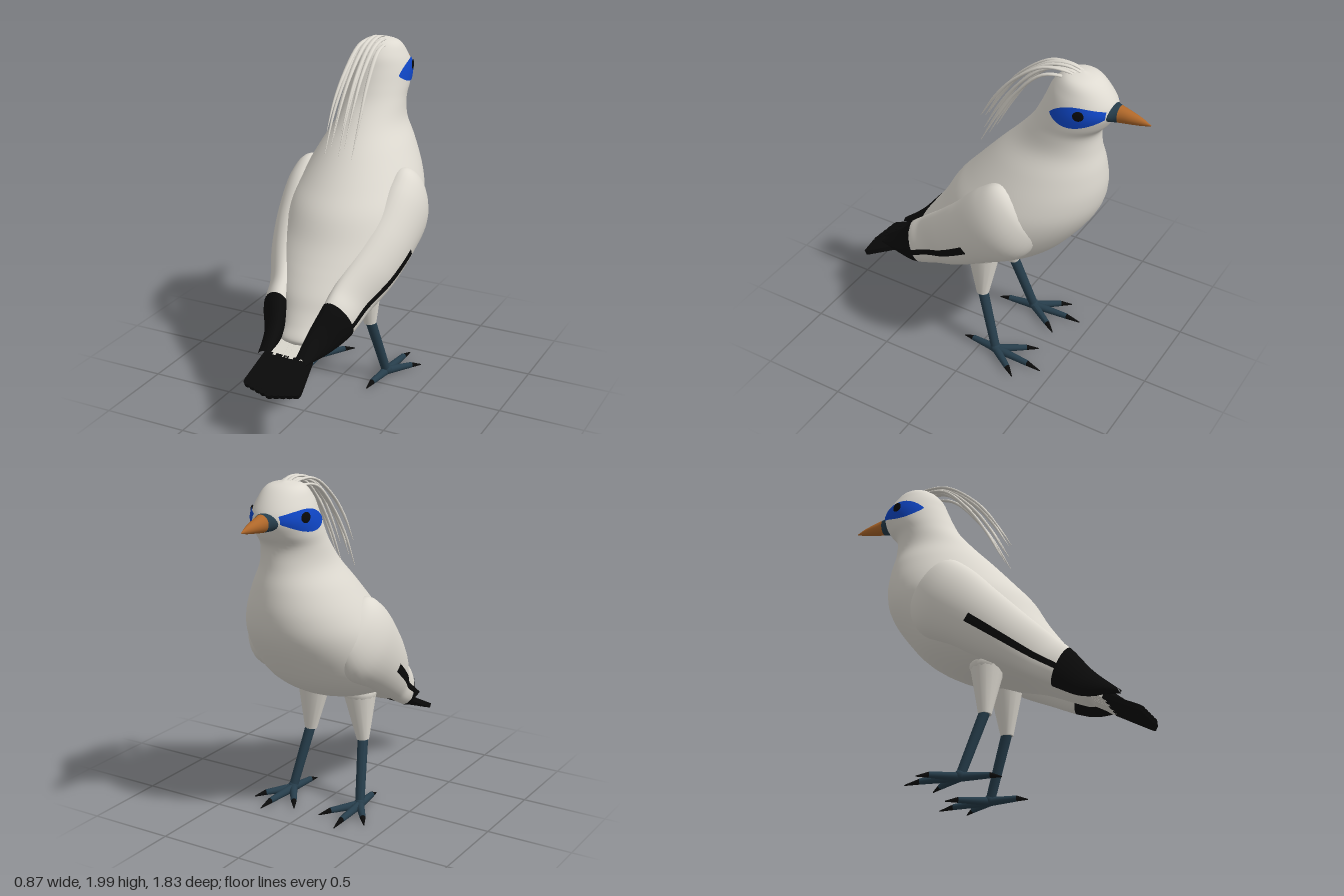
import * as THREE from 'three';
import { mergeVertices } from 'three/addons/utils/BufferGeometryUtils.js';

const mat = (name, color) => Object.assign(new THREE.MeshStandardMaterial({ color }), { name });

// Indexed grid surface from fn(a, b), with a and b in 0..1
function grid(fn, m, n) {
  const pos = [], idx = [];
  for (let i = 0; i <= m; i++) for (let j = 0; j <= n; j++) pos.push(...fn(i / m, j / n));
  for (let i = 0; i < m; i++) for (let j = 0; j < n; j++) {
    const a = i * (n + 1) + j, b = a + n + 1;
    idx.push(a, b, b + 1, a, b + 1, a + 1);
  }
  let g = new THREE.BufferGeometry();
  g.setAttribute('position', new THREE.Float32BufferAttribute(pos, 3));
  g.setIndex(idx);
  g = mergeVertices(g, 1e-5);
  g.computeVertexNormals();
  return g;
}

// Smooth run of elliptical sections; row = [upper xyz, lower xyz, half width along x]
function sections(rows) {
  const curve = f => new THREE.CatmullRomCurve3(rows.map(f), false, 'catmullrom', 0.5);
  const u = curve(r => new THREE.Vector3(r[0], r[1], r[2]));
  const l = curve(r => new THREE.Vector3(r[3], r[4], r[5]));
  const w = curve(r => new THREE.Vector3(r[6], 0, 0));
  return s => {
    const k = Math.min(1, Math.max(0, s / (rows.length - 1)));
    return { u: u.getPoint(k), l: l.getPoint(k), w: Math.max(0, w.getPoint(k).x) };
  };
}
function loft(sec, s0, s1, m, n, t0 = 0, t1 = Math.PI * 2, grow = 0) {
  return grid((a, b) => {
    const { u, l, w } = sec(s0 + (s1 - s0) * a);
    const t = t0 + (t1 - t0) * b, c = Math.cos(t) / 2;
    return [
      (u.x + l.x) / 2 + (u.x - l.x) * c + (w + grow) * Math.sin(t),
      (u.y + l.y) / 2 + (u.y - l.y) * c,
      (u.z + l.z) / 2 + (u.z - l.z) * c];
  }, m, n);
}

// Mirror image across x = 0 with corrected corner order
function mirrored(geo) {
  const g = geo.clone().scale(-1, 1, 1), ix = g.index.array;
  for (let i = 0; i < ix.length; i += 3) [ix[i], ix[i + 1]] = [ix[i + 1], ix[i]];
  g.computeVertexNormals();
  return g;
}

// Tapered round limb between two points
function limb(a, b, r0, r1) {
  const A = new THREE.Vector3(...a), d = new THREE.Vector3(...b).sub(A);
  const g = new THREE.CylinderGeometry(r1, r0, d.length(), 14);
  g.applyQuaternion(new THREE.Quaternion().setFromUnitVectors(new THREE.Vector3(0, 1, 0), d.clone().normalize()));
  return g.translate(...A.addScaledVector(d, 0.5).toArray());
}

export function createModel() {
  const root = new THREE.Group();
  root.name = 'bird';
  const white = mat('white plumage', 0xdedad1), black = mat('black feather', 0x0a0a0a);
  const blue = mat('blue skin', 0x0f46c6), orange = mat('orange beak', 0xb0682a);
  const slate = mat('slate leg', 0x263d4b);
  const add = (name, geo, m, parent = root) => {
    const o = new THREE.Mesh(geo, m);
    o.name = name;
    parent.add(o);
  };
  const pair = (name, geo, m) => {
    add('left ' + name, geo, m);
    add('right ' + name, mirrored(geo), m);
  };

  // Head and body: back z y, front z y, half width
  const body = sections([
    [-.49, 1.975, -.51, 1.975, 0], [-.41, 1.955, -.60, 1.945, .10], [-.345, 1.89, -.673, 1.872, .145],
    [-.31, 1.81, -.71, 1.79, .172], [-.27, 1.72, -.675, 1.705, .178], [-.22, 1.63, -.622, 1.63, .18],
    [-.12, 1.51, -.625, 1.52, .20], [0, 1.38, -.65, 1.40, .265], [.14, 1.22, -.66, 1.26, .335],
    [.24, 1.10, -.63, 1.12, .38], [.32, .96, -.54, .97, .395], [.38, .87, -.40, .81, .38],
    [.43, .80, -.20, .69, .33], [.49, .71, .05, .62, .255], [.53, .63, .25, .56, .18],
    [.57, .56, .43, .48, .125], [.61, .495, .53, .44, .10], [.60, .46, .57, .435, 0],
  ].map(r => [0, r[1], r[0], 0, r[3], r[2], r[4]]));
  add('body', loft(body, 0, 17, 90, 48), white);

  // Half width of the head at a given height and depth
  const headX = (y, z) => {
    let lo = 0, hi = 8, q = 0, w = 0;
    for (let i = 0; i < 30; i++) {
      const s = (lo + hi) / 2, r = body(s);
      q = (z - r.l.z) / (r.u.z - r.l.z);
      w = r.w;
      if (r.l.y + (r.u.y - r.l.y) * Math.min(1, Math.max(0, q)) > y) lo = s; else hi = s;
    }
    return w * Math.sqrt(Math.max(0, 1 - (2 * q - 1) ** 2));
  };

  // Eye mask and eyes
  pair('eye mask', grid((f, g) => {
    const half = .05 * Math.sin(Math.PI * f ** .85) ** .9 + .02 * f;
    const y = 1.775 + .025 * f + (g * 2 - 1) * half, z = -.40 - .285 * f;
    return [headX(y, z) * 1.025 + .002, 1.8 + (y - 1.8) * 1.02, -.5 + (z + .5) * 1.02];
  }, 28, 10), blue);
  pair('eye', new THREE.SphereGeometry(.03, 20, 14).scale(.2, 1, 1)
    .rotateY(.33).translate(headX(1.806, -.57) + .007, 1.806, -.572), black);

  // Beak: z, low y, high y, half width
  const beak = sections([
    [-.66, 1.735, 1.832, .095], [-.70, 1.735, 1.832, .068], [-.732, 1.736, 1.832, .046],
    [-.80, 1.745, 1.814, .032], [-.86, 1.754, 1.795, .017], [-.91, 1.766, 1.771, .001],
  ].map(r => [0, r[1], r[0], 0, r[2], r[0], r[3]]));
  add('beak base', loft(beak, 0, 2, 10, 24), slate);
  add('beak', loft(beak, 2, 5, 18, 24), orange);

  // Crest plumes sweeping back from the crown, spread between an outer and an inner arc
  const outer = [[-.56, 1.952], [-.43, 1.99], [-.28, 1.955], [-.12, 1.835], [-.01, 1.70], [.08, 1.55]];
  const inner = [[-.56, 1.945], [-.43, 1.975], [-.29, 1.92], [-.15, 1.77], [-.04, 1.60], [.065, 1.395]];
  const widths = [.008, .013, .014, .011, .007, .001], spread = [1, .2, .6, 0, .9];
  for (let i = -4; i <= 4; i++) {
    const q = spread[Math.abs(i)];
    const plume = sections(outer.map(([oz, oy], k) => {
      const z = oz + (inner[k][0] - oz) * q, y = oy + (inner[k][1] - oy) * q;
      const x = i * (.011 + .0025 * Math.min(k, 4));
      const h = k === 5 ? .001 : .006, dy = i * i * (k < 2 ? .0022 : .0008);
      return [x, y + h - dy, z + h, x, y - h - dy, z - h, widths[k]];
    }));
    add('crest plume', loft(plume, 0, 5, 24, 8), white);
  }

  // Folded wings: upper edge, lower edge, half thickness
  const wing = sections([
    [.28, 1.20, -.37, .27, 1.16, -.39, 0], [.295, 1.305, -.19, .275, 1.02, -.41, .095],
    [.295, 1.24, -.05, .285, .87, -.33, .145], [.275, 1.07, .12, .29, .755, -.12, .14],
    [.235, .92, .27, .28, .645, .08, .118], [.18, .78, .42, .25, .56, .25, .085],
    [.165, .70, .51, .215, .475, .42, .078], [.12, .58, .61, .165, .425, .56, .055],
    [.10, .465, .74, .13, .43, .755, .03],
  ]);
  pair('wing', loft(wing, 0, 5.9, 50, 32), white);
  pair('wing tip', loft(wing, 5.9, 8, 20, 32, 0, Math.PI * 2, .003), black);
  add('wing tip ends', grid((a, b) => {
    const { u, l, w } = wing(8), t = b * Math.PI * 2, x = (u.x + l.x) / 2;
    return [x + a * ((u.x - l.x) / 2 * Math.cos(t) + (w + .003) * Math.sin(t)),
      (u.y + l.y) / 2 + a * (u.y - l.y) / 2 * Math.cos(t),
      (u.z + l.z) / 2 + a * (u.z - l.z) / 2 * Math.cos(t) + .012 * (1 - a)];
  }, 3, 32), black);
  root.children.at(-1).name = 'left wing tip end';
  add('right wing tip end', mirrored(root.children.at(-1).geometry), black);
  pair('wing stripe', loft(wing, 3.05, 5.95, 30, 4, 1.66, 1.93, .006), black);

  // Tail fan of overlapping feathers, white with black ends
  const tail = new THREE.Group();
  tail.name = 'tail';
  tail.position.set(0, .528, .45);
  tail.rotation.x = .48;
  root.add(tail);
  for (let i = -4; i <= 4; i++) {
    const feather = new THREE.Group(), k = Math.abs(i), len = .52 - .008 * k, cut = .245 + .015 * (k % 2);
    feather.name = 'tail feather';
    feather.position.set(i * .0225, .001 * k, 0);
    feather.rotation.y = i * .03;
    tail.add(feather);
    add('feather base', new THREE.BoxGeometry(.052, .026, cut).translate(0, 0, cut / 2), white, feather);
    const s = new THREE.Shape();
    s.moveTo(-.026, cut);
    s.lineTo(.026, cut);
    s.lineTo(.028, len - .03);
    s.quadraticCurveTo(.026, len, 0, len);
    s.quadraticCurveTo(-.026, len, -.028, len - .03);
    add('feather end', new THREE.ExtrudeGeometry(s, { depth: .028, bevelEnabled: false, curveSegments: 5 })
      .rotateX(Math.PI / 2).translate(0, .014, 0), black, feather);
  }

  // Legs and feet
  pair('thigh', limb([.155, .68, .01], [.18, .385, .005], .1, .037), white);
  pair('thigh top', new THREE.SphereGeometry(.1, 20, 14).scale(1, .8, 1).translate(.155, .68, .01), white);
  pair('shank', limb([.18, .40, .005], [.232, .03, -.115], .031, .027), slate);
  pair('ankle', new THREE.SphereGeometry(.033, 14, 10).translate(.232, .033, -.115), slate);
  const foot = [.232, .026, -.115];
  for (const [name, x, z] of [['middle', .25, -.43], ['inner', .085, -.33], ['outer', .375, -.31], ['hind', .21, .115]]) {
    const at = (t, y) => [foot[0] + (x - foot[0]) * t, y, foot[2] + (z - foot[2]) * t];
    pair(name + ' toe', limb(foot, at(.72, .022), .026, .017), slate);
    pair(name + ' claw', limb(at(.7, .022), at(1, .008), .017, .003), black);
  }
  return root;
}
